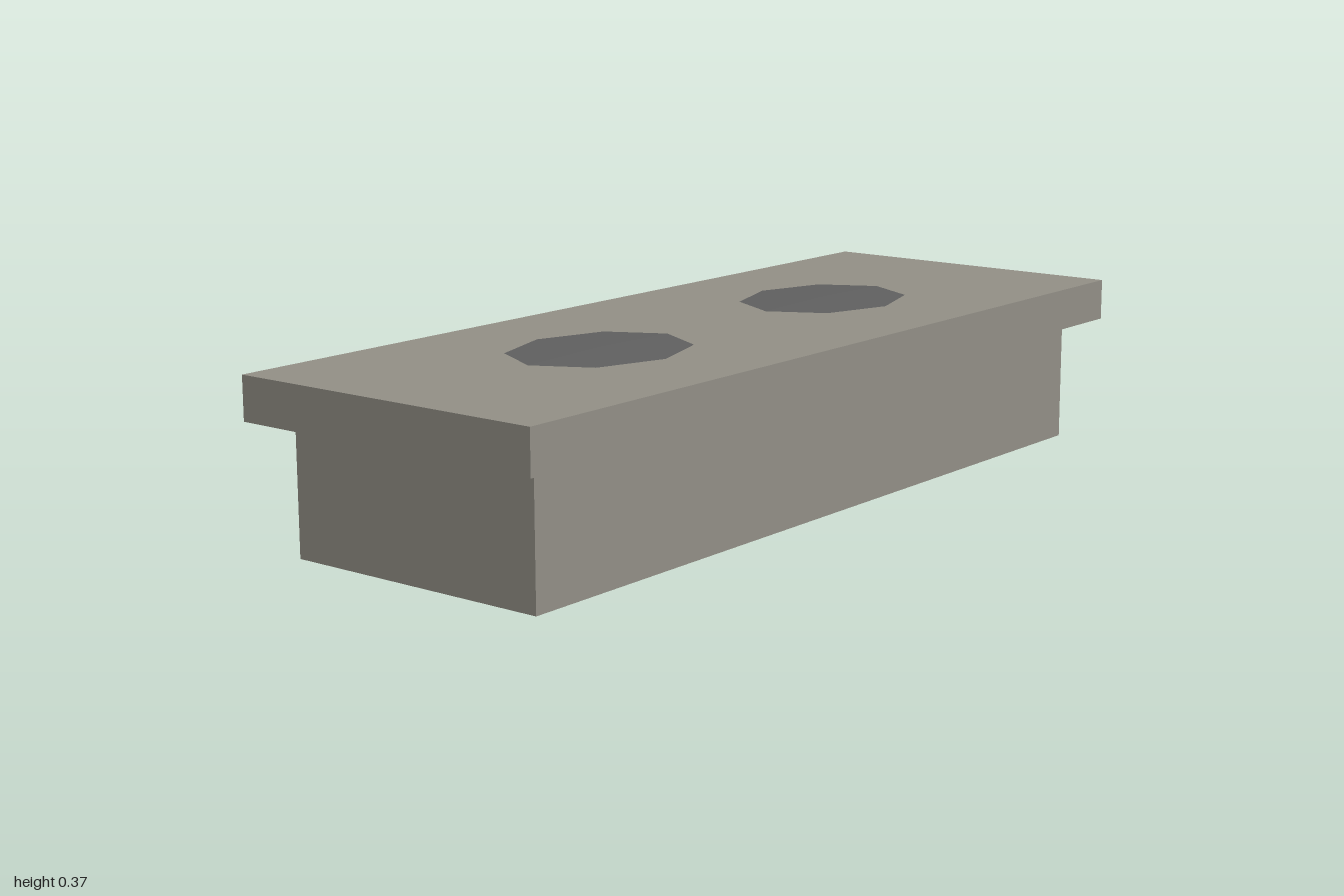
import * as THREE from 'three';

export function createModel() {
  const model = new THREE.Group();
  const stone = new THREE.MeshStandardMaterial({ color: 0x918e85 });
  stone.name = 'warm grey stone';
  const dark = new THREE.MeshStandardMaterial({ color: 0x5f5f5f });
  dark.name = 'dark grey';

  function add(name, geometry, material, x, y) {
    const mesh = new THREE.Mesh(geometry, material);
    mesh.name = name;
    mesh.position.set(x, y, 0);
    model.add(mesh);
  }

  // Block with a wider slab resting on it
  const baseHeight = 0.278, slabHeight = 0.092;
  const top = baseHeight + slabHeight;
  add('base', new THREE.BoxGeometry(1.85, baseHeight, 0.616), stone, 0, baseHeight / 2);
  add('topSlab', new THREE.BoxGeometry(2, slabHeight, 0.738), stone, 0, baseHeight + slabHeight / 2);

  // Two very shallow eight-sided discs, slightly raised at the centre
  const rise = 0.004;
  const disc = new THREE.ConeGeometry(1, rise, 8, 1, true).toNonIndexed();
  disc.scale(0.215, 1, 0.17);
  disc.computeVertexNormals();
  add('leftDisc', disc, dark, 0.385, top + rise / 2 + 0.0003);
  add('rightDisc', disc, dark, -0.385, top + rise / 2 + 0.0003);

  return model;
}
